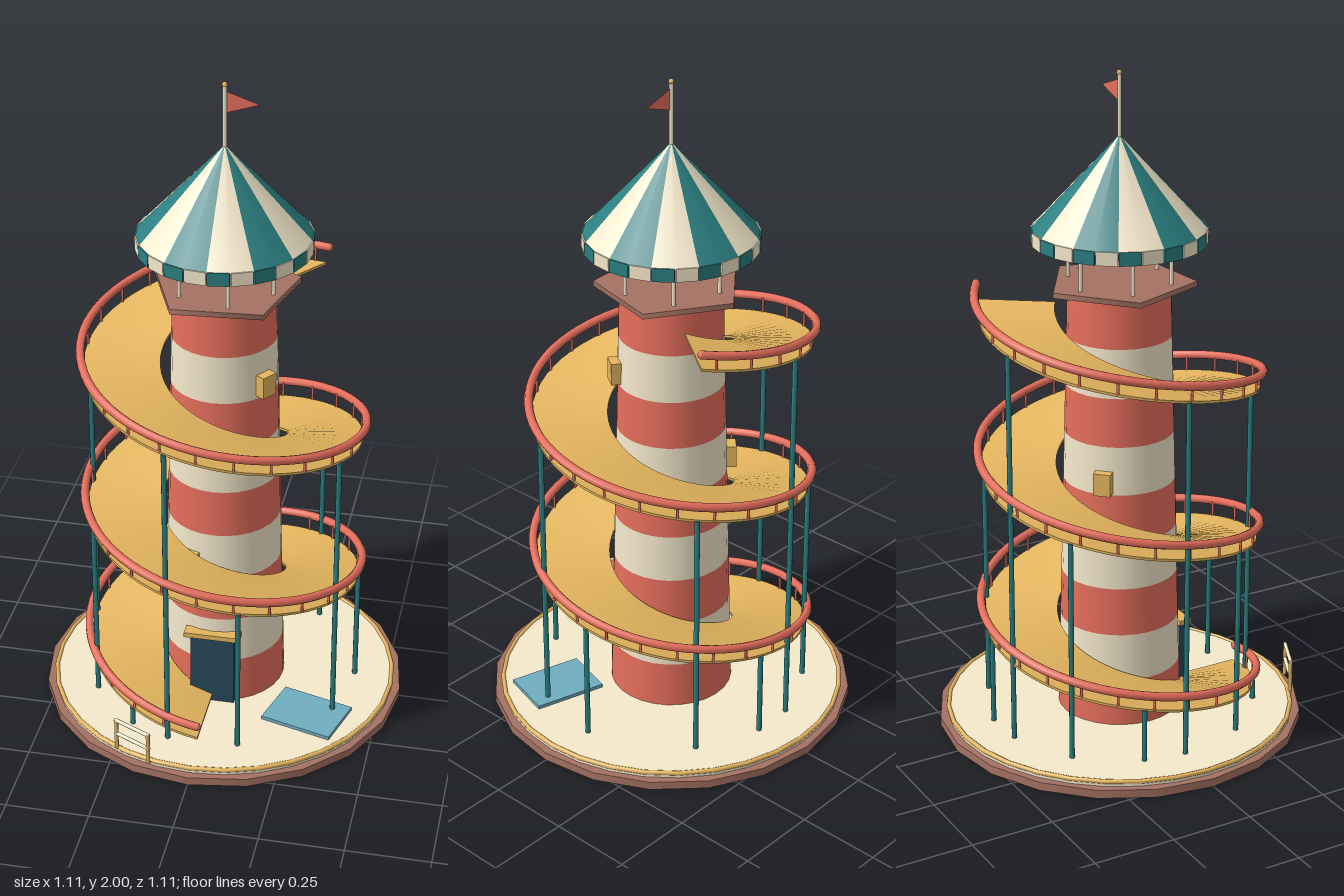
import * as THREE from 'three';
import { toCreasedNormals } from 'three/addons/utils/BufferGeometryUtils.js';

const RED = 0xe56e5c, CREAM = 0xf5e9cc, TEAL = 0x2b7f81, GOLD = 0xe4b55e;
const BROWN = 0xa57263, DARK = 0x27485a, BLUE = 0x6fadc0;
const rad = THREE.MathUtils.degToRad;
const mats = {};
function mat(color, double = false) {
  return mats[color + '_' + double] ??= new THREE.MeshStandardMaterial({
    color, side: double ? THREE.DoubleSide : THREE.FrontSide,
  });
}

// The slide runs downhill as the angle (0 = front, 90 = left) grows.
const START = 144, SWEEP = 936, PITCH = 0.48;
const railY = (t) => 1.36 - (PITCH * t) / 360;
function polar(deg, r, y) {
  return new THREE.Vector3(Math.sin(rad(deg)) * r, y, Math.cos(rad(deg)) * r);
}

class Helix extends THREE.Curve {
  getPoint(u, target = new THREE.Vector3()) {
    return target.copy(polar(START + u * SWEEP, 0.42, railY(u * SWEEP)));
  }
}

// Rectangular section swept along the spiral, closed at both ends.
function slideFloor(inner, outer, drop, thick, steps) {
  const pos = [], idx = [];
  for (let i = 0; i <= steps; i++) {
    const t = (i / steps) * SWEEP, y = railY(t) - drop;
    for (const [r, h] of [[inner, y], [outer, y], [outer, y - thick], [inner, y - thick]]) {
      pos.push(...polar(START + t, r, h).toArray());
    }
    if (i === steps) break;
    for (let k = 0; k < 4; k++) {
      const a = i * 4 + k, b = i * 4 + ((k + 1) % 4);
      idx.push(a, b, a + 4, b, b + 4, a + 4);
    }
  }
  const e = steps * 4;
  idx.push(0, 2, 1, 0, 3, 2, e, e + 1, e + 2, e, e + 2, e + 3);
  const g = new THREE.BufferGeometry();
  g.setAttribute('position', new THREE.Float32BufferAttribute(pos, 3));
  g.setIndex(idx);
  return toCreasedNormals(g, rad(40));
}

export function createModel() {
  const model = new THREE.Group();
  function add(name, geo, color, p = [0, 0, 0], double = false, parent = model) {
    const m = new THREE.Mesh(geo, mat(color, double));
    m.name = name;
    m.position.set(...p);
    parent.add(m);
    return m;
  }
  function group(name) {
    const g = new THREE.Group();
    g.name = name;
    model.add(g);
    return g;
  }
  // Upright round bar from y0 to y1
  function bar(name, x, z, y0, y1, r, color, parent) {
    return add(name, new THREE.CylinderGeometry(r, r, y1 - y0, 8), color, [x, (y0 + y1) / 2, z], false, parent);
  }

  // Base
  add('basePlinth', new THREE.CylinderGeometry(0.555, 0.555, 0.026, 20), BROWN, [0, 0.013, 0]);
  add('baseFloor', new THREE.CylinderGeometry(0.53, 0.53, 0.018, 32), CREAM, [0, 0.033, 0]);
  add('baseTrim', new THREE.TorusGeometry(0.526, 0.007, 8, 32), GOLD, [0, 0.04, 0]).rotation.x = Math.PI / 2;

  // Striped tapering tower
  const tower = group('tower');
  const bands = 9, y0 = 0.04, y1 = 1.373, bandH = (y1 - y0) / bands;
  const towerR = (y) => 0.187 - (0.036 * (y - y0)) / (y1 - y0);
  for (let i = 0; i < bands; i++) {
    const lo = y0 + i * bandH;
    add('towerBand', new THREE.CylinderGeometry(towerR(lo + bandH), towerR(lo), bandH, 28),
      i % 2 ? CREAM : RED, [0, lo + bandH / 2, 0], false, tower);
  }

  // Door and windows
  add('door', new THREE.BoxGeometry(0.135, 0.235, 0.03), DARK, [0, 0.158, 0.178]);
  add('doorLintel', new THREE.BoxGeometry(0.17, 0.016, 0.04), GOLD, [0, 0.284, 0.185]);
  for (const [deg, y] of [[-23, 0.53], [225, 0.82], [56, 1.12]]) {
    const w = add('window', new THREE.BoxGeometry(0.052, 0.068, 0.03), GOLD);
    w.position.copy(polar(deg, towerR(y) + 0.012, y));
    w.rotation.y = rad(deg);
  }

  // Spiral slide with handrail, balusters and columns
  const slide = group('slide');
  add('slideFloor', slideFloor(0.188, 0.412, 0.047, 0.008, 156), GOLD, [0, 0, 0], false, slide);
  const helix = new Helix();
  add('handrail', new THREE.TubeGeometry(helix, 200, 0.013, 8), RED, [0, 0, 0], false, slide);
  for (const u of [0, 1]) {
    add('handrailEnd', new THREE.SphereGeometry(0.013, 8, 6), RED, helix.getPoint(u).toArray(), false, slide);
  }
  for (let t = 6; t < SWEEP; t += 15) {
    const p = polar(START + t, 0.41, railY(t));
    bar('baluster', p.x, p.z, p.y - 0.05, p.y, 0.004, RED, slide);
  }
  for (let i = 0; i < 12; i++) {
    const t = 78 * (i + 0.6), p = polar(START + t, 0.41, 0);
    bar('column', p.x, p.z, 0.04, railY(t) - 0.052, 0.008, TEAL, slide);
  }

  // Five-sided lookout deck and roof posts
  add('deck', new THREE.CylinderGeometry(0.225, 0.225, 0.016, 5), BROWN, [0, 1.377, 0]).rotation.y = rad(40);
  const posts = group('roofPosts');
  for (let i = 0; i < 6; i++) {
    const p = polar(15 + i * 60, 0.155, 0);
    bar('roofPost', p.x, p.z, 1.383, 1.63, 0.006, CREAM, posts);
  }

  // Striped cone roof with hanging valance boards
  const roof = group('roof');
  for (let i = 0; i < 12; i++) {
    add('roofStripe', new THREE.CylinderGeometry(0, 0.255, 0.275, 2, 1, true, rad(i * 30), rad(30)),
      i % 2 ? TEAL : CREAM, [0, 1.6775, 0], true, roof);
  }
  for (let i = 0; i < 24; i++) {
    const deg = i * 15 + 7.5;
    const panel = add('valancePanel', new THREE.BoxGeometry(0.063, 0.04, 0.008), i % 2 ? CREAM : TEAL,
      polar(deg, 0.25, 1.523).toArray(), false, roof);
    panel.rotation.y = rad(deg);
  }

  // Flag
  bar('flagPole', 0, 0, 1.79, 1.99, 0.006, CREAM, model);
  add('flagPoleKnob', new THREE.SphereGeometry(0.008, 10, 8), GOLD, [0, 1.992, 0]);
  const flag = new THREE.Shape([[0, 1.908], [0.1, 1.94], [0, 1.974]].map((p) => new THREE.Vector2(...p)));
  add('flag', new THREE.ShapeGeometry(flag), RED, [0, 0, 0], true);

  // Small entrance barrier
  const barrier = group('barrier');
  barrier.position.set(-0.178, 0, 0.502);
  barrier.rotation.y = -Math.atan2(0.055, 0.115);
  for (const x of [-0.06, 0.06]) bar('barrierPost', x, 0, 0.04, 0.146, 0.006, GOLD, barrier);
  for (const y of [0.095, 0.143]) {
    add('barrierRail', new THREE.CylinderGeometry(0.006, 0.006, 0.13, 8), CREAM, [0, y, 0], false, barrier)
      .rotation.z = Math.PI / 2;
  }

  // Landing mat
  add('landingMat', new THREE.BoxGeometry(0.225, 0.012, 0.166), BLUE, [0.297, 0.047, 0.206]).rotation.y = -0.28;

  return model;
}
